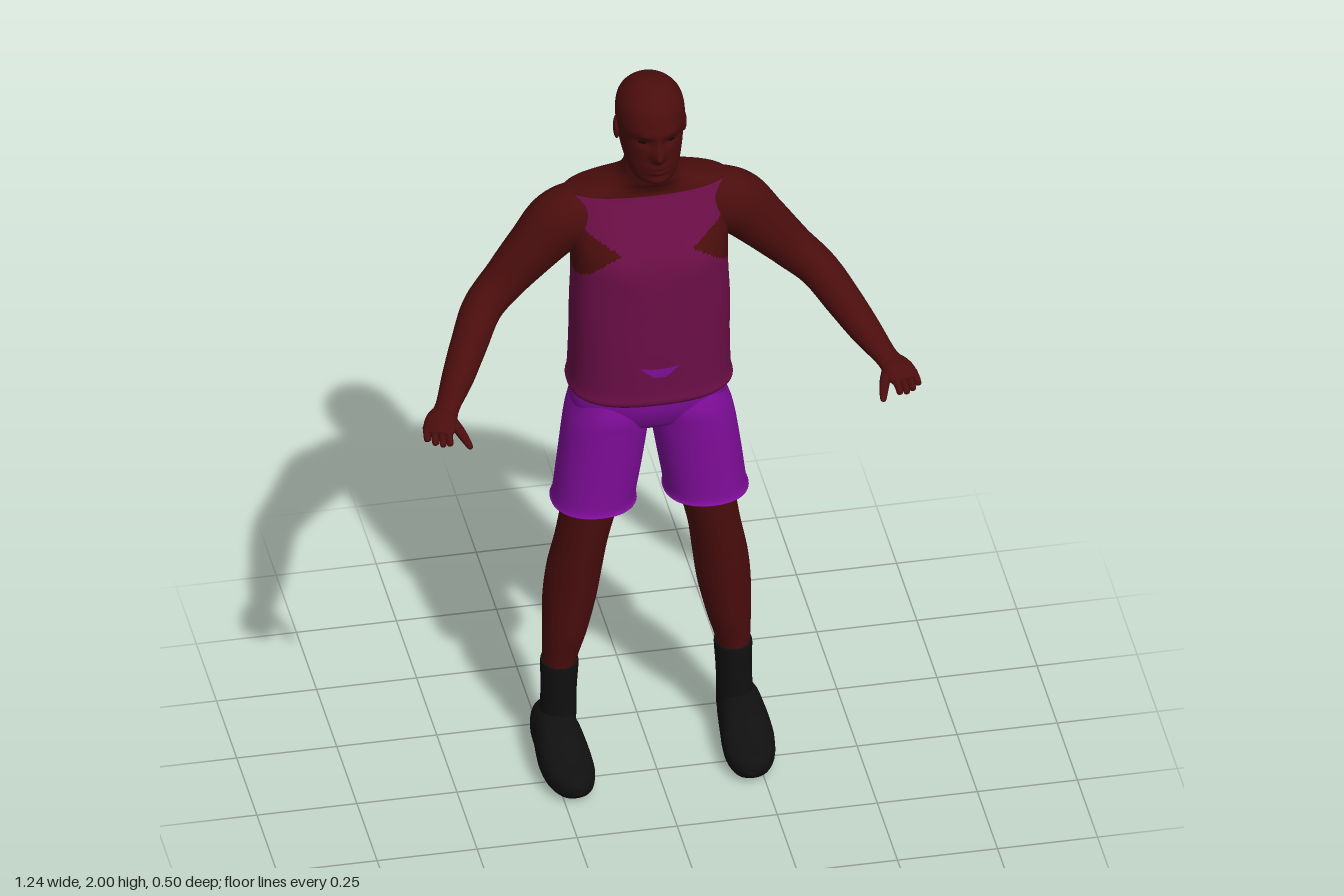
import * as THREE from 'three';

const mat = (name, color) => {
  const m = new THREE.MeshStandardMaterial({ color });
  m.name = name;
  return m;
};

// Catmull-Rom through rows of numbers
function spline(rows, steps) {
  const out = [], n = rows.length - 1;
  for (let k = 0; k <= steps; k++) {
    const t = (k / steps) * n, i = Math.min(Math.floor(t), n - 1), f = t - i;
    const [a, b, c, d] = [i - 1, i, i + 1, i + 2].map(j => rows[Math.max(0, Math.min(n, j))]);
    out.push(b.map((_, q) => b[q] + 0.5 * f * (c[q] - a[q] + f * (2 * a[q] - 5 * b[q] + 4 * c[q] - d[q]
      + f * (3 * (b[q] - c[q]) + d[q] - a[q])))));
  }
  return out;
}

// Smooth loft through sections [x, y, z, radiusA, radiusB, exponent].
// Upright sections lie flat in xz and run upwards; limb sections follow the path.
function loft(sections, { steps = 40, segs = 32, limb = false, bump = null } = {}) {
  const full = sections.map(([x, y, z, ra, rb, e = 2]) => [x, y, z, ra, rb, e]);
  const rows = spline(full, steps), pos = [], idx = [];
  const at = i => new THREE.Vector3(...rows[Math.max(0, Math.min(steps, i))].slice(0, 3));
  const S = new THREE.Vector3(1, 0, 0), U = new THREE.Vector3(0, 0, 1);
  rows.forEach(([x, y, z, ra, rb, e], i) => {
    if (limb) {
      const T = at(i + 1).sub(at(i - 1)).normalize();
      S.crossVectors(T, new THREE.Vector3(0, 1, 0)).normalize();
      U.crossVectors(S, T);
    }
    for (let j = 0; j < segs; j++) {
      const a = (j / segs) * Math.PI * 2, c = Math.cos(a), s = Math.sin(a);
      const p = new THREE.Vector3(x, y, z)
        .addScaledVector(S, Math.sign(c) * Math.abs(c) ** (2 / e) * ra)
        .addScaledVector(U, Math.sign(s) * Math.abs(s) ** (2 / e) * rb);
      if (bump) bump(p, s);
      pos.push(p.x, p.y, p.z);
      if (i < steps) {
        const p0 = i * segs + j, p1 = i * segs + (j + 1) % segs;
        idx.push(p0, p0 + segs, p1, p1, p0 + segs, p1 + segs);
      }
    }
  });
  const end = steps * segs, c0 = pos.length / 3;
  pos.push(...rows[0].slice(0, 3), ...rows[steps].slice(0, 3));
  for (let j = 0; j < segs; j++) {
    const k = (j + 1) % segs;
    idx.push(c0, j, k, c0 + 1, end + k, end + j);
  }
  const g = new THREE.BufferGeometry();
  g.setAttribute('position', new THREE.Float32BufferAttribute(pos, 3));
  g.setIndex(idx);
  g.computeVertexNormals();
  return g;
}

// Split one surface in two by a test on each triangle's centre
function split(g, test) {
  const p = g.attributes.position, ids = g.index.array, parts = [[], []];
  for (let i = 0; i < ids.length; i += 3) {
    const t = [ids[i], ids[i + 1], ids[i + 2]];
    const mean = f => (p[f](t[0]) + p[f](t[1]) + p[f](t[2])) / 3;
    parts[test(mean('getX'), mean('getY'), mean('getZ')) ? 0 : 1].push(...t);
  }
  return parts.map(list => { const h = g.clone(); h.setIndex(list); return h; });
}

// Section from its front and back z
const slab = (y, rx, front, back, e = 2) => [0, y, (front + back) / 2, rx, (front - back) / 2, e];
const hill = (d, w) => Math.exp(-((d / w) ** 2));

export function createModel() {
  const group = new THREE.Group();
  const skin = mat('skin', 0x4a0d0d), shirt = mat('shirt', 0x6a0e46), shorts = mat('shorts', 0x7e0d98);
  const black = mat('shoeBlack', 0x101011), dark = mat('eyeDark', 0x150405);
  const add = (name, geometry, material) => {
    const m = new THREE.Mesh(geometry, material);
    m.name = name;
    group.add(m);
    return m;
  };

  // Torso and neck, split into shirt and bare skin
  const torso = loft([
    slab(1.105, 0.192, 0.028, -0.233, 2.6), slab(1.118, 0.205, 0.037, -0.243, 2.6),
    slab(1.15, 0.2, 0.035, -0.242, 2.6), slab(1.25, 0.197, 0.035, -0.235, 2.6),
    slab(1.35, 0.197, 0.033, -0.222, 2.6), slab(1.45, 0.193, 0.03, -0.226, 2.6),
    slab(1.52, 0.195, 0.018, -0.236, 2.6), slab(1.58, 0.203, -0.012, -0.243, 2.6),
    slab(1.63, 0.208, -0.04, -0.236, 2.5), slab(1.67, 0.2, -0.06, -0.215, 2.3),
    slab(1.695, 0.125, -0.055, -0.195), slab(1.72, 0.08, -0.04, -0.178),
    slab(1.76, 0.063, -0.03, -0.16), slab(1.82, 0.058, -0.04, -0.15),
  ], {
    steps: 130, segs: 160,
    bump: (p, s) => {
      if (s < 0) p.z += 0.014 * hill(p.x, 0.035) * hill(p.y - 1.48, 0.16); // spine groove
      else p.z += 0.006 * hill(Math.abs(p.x) - 0.09, 0.06) * hill(p.y - 1.5, 0.05); // chest
    },
  });
  const armhole = [[1.46, 0.2], [1.52, 0.13], [1.545, 0.088], [1.59, 0.165], [1.67, 0.212]];
  const edge = y => {
    for (let i = 1; i < armhole.length; i++) {
      const [y0, x0] = armhole[i - 1], [y1, x1] = armhole[i];
      if (y >= y0 && y <= y1) return x0 + (x1 - x0) * (y - y0) / (y1 - y0);
    }
    return 1;
  };
  const [bare, cloth] = split(torso, (x, y, z) =>
    y > 1.67 || Math.abs(x) > Math.max(edge(y), z < -0.12 ? 0.13 : 0));
  add('neckAndShoulders', bare, skin);
  add('tankTop', cloth, shirt);

  // Shorts showing through the shirt, as thin plates
  const plate = pts => new THREE.ShapeGeometry(new THREE.Shape(pts.map(p => new THREE.Vector2(...p))));
  add('frontWaistPatch', plate([[-0.05, 1.226], [-0.03, 1.208], [-0.015, 1.195], [0.015, 1.195],
    [0.03, 1.208], [0.05, 1.226], [0.02, 1.22], [-0.02, 1.22]]), shorts).position.z = 0.038;
  for (const s of [-1, 1]) {
    const m = add('backWaistPatch', plate([[-0.028, 1.135], [0.026, 1.135], [0.008, 1.15], [0, 1.185], [-0.01, 1.15]]), shorts);
    m.rotation.y = Math.PI;
    m.position.set(s * 0.033, 0, -0.2455);
  }

  // Head with brow, eye sockets, nose, lips and chin
  add('head', loft([
    slab(1.742, 0.025, -0.02, -0.07), slab(1.757, 0.05, 0.01, -0.1), slab(1.79, 0.066, 0.017, -0.135),
    slab(1.83, 0.076, 0.018, -0.175), slab(1.87, 0.081, 0.018, -0.192), slab(1.91, 0.085, 0.018, -0.195),
    slab(1.95, 0.079, 0.004, -0.186), slab(1.978, 0.06, -0.022, -0.16), slab(1.994, 0.034, -0.055, -0.13),
    slab(2.0, 0.003, -0.09, -0.096),
  ], {
    steps: 80, segs: 72,
    bump: (p, s) => {
      if (s <= 0) return;
      const ax = Math.abs(p.x);
      p.z += s * (0.026 * hill(p.x, 0.014) * hill(p.y - 1.84, 0.018) + 0.01 * hill(p.x, 0.009) * hill(p.y - 1.865, 0.02)
        + 0.005 * hill(ax - 0.03, 0.03) * hill(p.y - 1.9, 0.012) - 0.011 * hill(ax - 0.034, 0.018) * hill(p.y - 1.875, 0.012)
        + 0.009 * hill(p.x, 0.024) * (hill(p.y - 1.807, 0.007) + hill(p.y - 1.792, 0.007))
        + 0.007 * hill(p.x, 0.025) * hill(p.y - 1.765, 0.012));
    },
  }), skin);

  // Shorts seat
  add('shortsSeat', loft([
    slab(1.0, 0.1, -0.03, -0.18, 2.3), slab(1.02, 0.17, -0.01, -0.222, 2.3), slab(1.06, 0.194, 0.007, -0.24, 2.3),
    slab(1.1, 0.19, 0.012, -0.24, 2.4), slab(1.14, 0.18, 0.01, -0.225, 2.4),
  ], { segs: 64 }), shorts);

  for (const s of [1, -1]) {
    const side = s > 0 ? 'left' : 'right';
    const part = (name, rows, material, opts) =>
      add(side + name, loft(rows.map(([x, ...r]) => [s * x, ...r]), opts), material);

    // Eyes and ears
    const eye = add(side + 'Eye', new THREE.SphereGeometry(1, 20, 12), dark);
    eye.scale.set(0.014, 0.006, 0.004);
    eye.position.set(s * 0.034, 1.875, -0.003);
    eye.rotation.y = s * 0.4;
    const ear = add(side + 'Ear', new THREE.SphereGeometry(1, 20, 14), skin);
    ear.scale.set(0.009, 0.031, 0.018);
    ear.position.set(s * 0.082, 1.865, -0.095);
    ear.rotation.set(-0.15, s * 0.25, 0);

    // Arm, hand, fingers and thumb
    part('Arm', [
      [0.12, 1.6, -0.13, 0.06, 0.065], [0.17, 1.595, -0.13, 0.075, 0.083], [0.225, 1.575, -0.128, 0.073, 0.082],
      [0.285, 1.515, -0.122, 0.062, 0.07], [0.355, 1.44, -0.112, 0.053, 0.058], [0.42, 1.382, -0.08, 0.05, 0.05],
      [0.467, 1.33, -0.01, 0.046, 0.046], [0.51, 1.28, 0.06, 0.04, 0.037], [0.545, 1.242, 0.115, 0.031, 0.025],
      [0.56, 1.228, 0.14, 0.034, 0.02],
    ], skin, { limb: true, steps: 60 });
    part('Palm', [
      [0.55, 1.236, 0.122, 0.024, 0.018], [0.565, 1.226, 0.145, 0.039, 0.02],
      [0.577, 1.216, 0.17, 0.041, 0.018], [0.586, 1.208, 0.193, 0.034, 0.012],
    ], skin, { limb: true, steps: 16, segs: 24 });
    for (let f = 0; f < 4; f++) {
      const x = 0.557 + f * 0.017, z = 0.19 - f * 0.006, len = [0.038, 0.045, 0.04, 0.027][f];
      part('Finger', [
        [x, 1.212, z - 0.012, 0.01, 0.01], [x + 0.004, 1.207, z + len * 0.5, 0.009, 0.009],
        [x + 0.005, 1.199, z + len * 0.9, 0.008, 0.008], [x + 0.005, 1.197, z + len, 0.002, 0.002],
      ], skin, { limb: true, steps: 12, segs: 12 });
    }
    part('Thumb', [
      [0.548, 1.222, 0.145, 0.014, 0.014], [0.532, 1.211, 0.185, 0.013, 0.012],
      [0.521, 1.203, 0.225, 0.01, 0.009], [0.516, 1.199, 0.246, 0.007, 0.006], [0.515, 1.198, 0.251, 0.001, 0.001],
    ], skin, { limb: true, steps: 16, segs: 14 });

    // Shorts leg with a flared hem
    part('ShortsLeg', [
      [0.14, 0.77, -0.099, 0.092, 0.09, 2.2], [0.14, 0.771, -0.099, 0.106, 0.106, 2.2],
      [0.138, 0.79, -0.099, 0.102, 0.1, 2.2], [0.122, 0.9, -0.1, 0.104, 0.103, 2.2],
      [0.107, 1.0, -0.108, 0.104, 0.114, 2.2], [0.098, 1.05, -0.118, 0.097, 0.124, 2.2],
      [0.09, 1.1, -0.12, 0.085, 0.11, 2.2],
    ], shorts, { steps: 42, segs: 48 });

    // Leg, sock and shoe
    part('Leg', [
      [0.218, 0.24, -0.136, 0.04, 0.048], [0.216, 0.28, -0.136, 0.043, 0.05], [0.205, 0.36, -0.132, 0.055, 0.06],
      [0.193, 0.46, -0.131, 0.066, 0.07], [0.182, 0.55, -0.125, 0.068, 0.075], [0.165, 0.65, -0.115, 0.065, 0.077],
      [0.142, 0.77, -0.108, 0.07, 0.082], [0.135, 0.85, -0.105, 0.075, 0.085],
    ], skin);
    part('Sock', [
      [0.222, 0.08, -0.135, 0.046, 0.053], [0.219, 0.18, -0.135, 0.044, 0.052],
      [0.217, 0.262, -0.135, 0.047, 0.054], [0.217, 0.27, -0.135, 0.044, 0.051],
    ], black, { steps: 21 });
    part('Shoe', [
      [0.235, 0.05, -0.203, 0.008, 0.012, 2.4], [0.235, 0.058, -0.195, 0.036, 0.048, 2.4],
      [0.234, 0.064, -0.16, 0.052, 0.062, 2.4], [0.231, 0.067, -0.1, 0.058, 0.066, 2.4],
      [0.23, 0.061, -0.045, 0.063, 0.06, 2.4], [0.228, 0.051, 0.0, 0.065, 0.05, 2.4],
      [0.223, 0.041, 0.05, 0.06, 0.039, 2.4], [0.217, 0.036, 0.09, 0.042, 0.031, 2.4],
      [0.215, 0.034, 0.108, 0.016, 0.014, 2.4], [0.215, 0.034, 0.111, 0.002, 0.002, 2.4],
    ], black, { limb: true, steps: 45, bump: p => { p.y = Math.max(p.y, 0); } });
  }
  return group;
}
